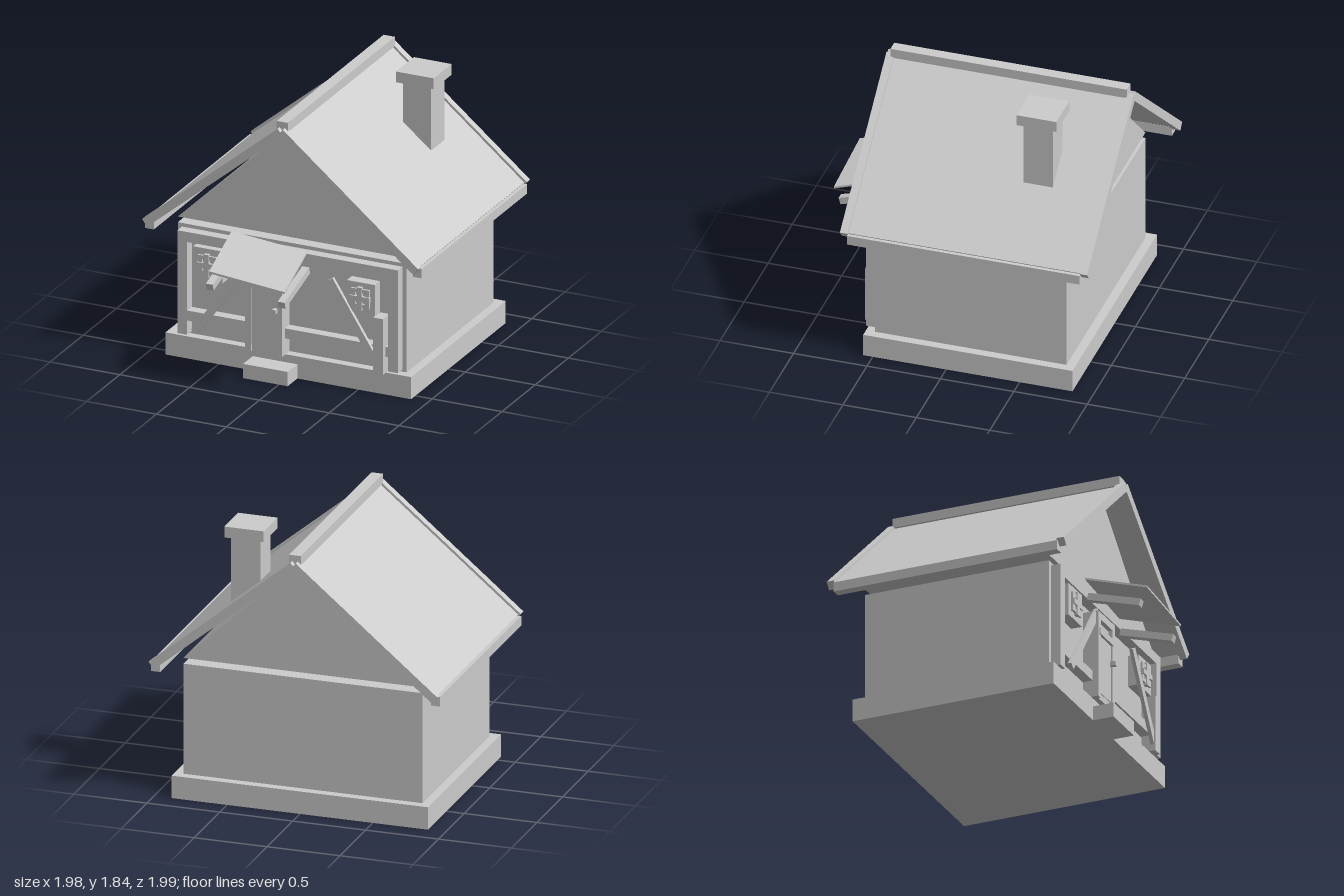
import * as THREE from 'three';

export function createModel() {
  const model = new THREE.Group();
  model.name = 'cottage';
  const plain = new THREE.MeshStandardMaterial({ color: 0xcccccc });
  plain.name = 'plain grey';

  const add = (name, geometry) => {
    const mesh = new THREE.Mesh(geometry, plain);
    mesh.name = name;
    model.add(mesh);
    return mesh;
  };
  // Box given by its limits on each axis
  const box = (name, x0, x1, y0, y1, z0, z1) => {
    const mesh = add(name, new THREE.BoxGeometry(x1 - x0, y1 - y0, z1 - z0));
    mesh.position.set((x0 + x1) / 2, (y0 + y1) / 2, (z0 + z1) / 2);
    return mesh;
  };
  // Polygon in x, y drawn out from z0 to z1
  const prism = (name, points, z0, z1) => {
    const shape = new THREE.Shape(points.map(p => new THREE.Vector2(p[0], p[1])));
    const geometry = new THREE.ExtrudeGeometry(shape, { depth: z1 - z0, bevelEnabled: false });
    return add(name, geometry.translate(0, 0, z0));
  };
  // Slanted box spanned by three edge vectors around a centre
  const skewBox = (name, centre, ex, ey, ez) => {
    const matrix = new THREE.Matrix4()
      .makeBasis(new THREE.Vector3(...ex), new THREE.Vector3(...ey), new THREE.Vector3(...ez))
      .setPosition(...centre);
    return add(name, new THREE.BoxGeometry(1, 1, 1).applyMatrix4(matrix));
  };
  // Flat board between two points on the front
  const plank = (name, x0, y0, x1, y1, width, z0, z1) => {
    const mesh = add(name, new THREE.BoxGeometry(Math.hypot(x1 - x0, y1 - y0), width, z1 - z0));
    mesh.position.set((x0 + x1) / 2, (y0 + y1) / 2, (z0 + z1) / 2);
    mesh.rotation.z = Math.atan2(y1 - y0, x1 - x0);
    return mesh;
  };

  // Body
  box('foundation', -0.88, 0.88, 0, 0.155, -0.86, 0.565);
  box('doorstep', -0.255, 0.065, 0, 0.1, 0.565, 0.71);
  box('walls', -0.82, 0.82, 0.155, 0.915, -0.8, 0.505);
  prism('gable', [[-0.82, 0.955], [0.82, 0.955], [0, 1.73]], -0.8, 0.505);

  // Timber frame on the front wall
  for (const s of [-1, 1]) box('framePost', s * 0.755 - 0.035, s * 0.755 + 0.035, 0.17, 0.89, 0.505, 0.575);
  box('frameTopBeam', -0.72, 0.72, 0.82, 0.89, 0.505, 0.575);
  box('frameMiddleBeam', -0.72, 0.72, 0.27, 0.34, 0.505, 0.575);
  plank('leftBrace', -0.66, 0.21, -0.245, 0.775, 0.05, 0.575, 0.6);
  plank('rightBrace', 0.312, 0.75, 0.658, 0.2, 0.05, 0.575, 0.6);
  box('shortPost', 0.628, 0.7, 0.155, 0.545, 0.51, 0.61);

  // Roof: both slopes share a cross-section measured along and below the top line
  const angle = 0.692;
  const section = (s, from, to, top, bottom) =>
    [[from, top], [to, top], [to, bottom], [from, bottom]].map(([along, below]) => [
      s * (0.99 - along * Math.cos(angle) - below * Math.sin(angle)),
      0.975 + along * Math.sin(angle) - below * Math.cos(angle),
    ]);
  for (const s of [-1, 1]) {
    prism('roofSlope', section(s, 0.01, 1.25, 0.016, 0.05), -0.945, 0.635);
    prism('rearBargeBoard', section(s, 0, 1.262, 0, 0.059), -0.995, -0.945);
    prism('frontBargeBoard', section(s, 0, 1.262, 0, 0.059), 0.635, 0.688);
    box('eavesBeam', s * 0.96 - 0.032, s * 0.96 + 0.032, 0.895, 0.96, -0.945, 0.64);
  }
  box('ridgeBeam', -0.04, 0.04, 1.755, 1.82, -0.955, 0.655);

  // Chimney
  box('chimney', 0.355, 0.555, 1.27, 1.77, -0.62, -0.42);
  box('chimneyCap', 0.32, 0.59, 1.765, 1.84, -0.655, -0.385);

  // Door with its surround
  box('doorPostLeft', -0.06, -0.02, 0.155, 0.765, 0.505, 0.615);
  box('doorPostRight', -0.285, -0.245, 0.155, 0.765, 0.505, 0.615);
  box('doorHead', -0.245, -0.06, 0.715, 0.765, 0.505, 0.615);
  box('doorSill', -0.245, -0.06, 0.155, 0.2, 0.505, 0.6);
  box('door', -0.245, -0.06, 0.2, 0.61, 0.505, 0.605);
  box('doorTransom', -0.265, -0.05, 0.605, 0.65, 0.505, 0.622);
  box('doorTopPanel', -0.245, -0.06, 0.645, 0.715, 0.505, 0.585);
  box('doorHandle', -0.08, -0.055, 0.455, 0.485, 0.605, 0.645);

  // Windows: block, small square frame and cross bars
  for (const [x, y, w, h] of [[-0.57, 0.688, 0.21, 0.225], [0.527, 0.653, 0.2, 0.215]]) {
    box('windowBlock', x - w / 2, x + w / 2, y - h / 2, y + h / 2, 0.505, 0.58);
    for (const s of [-1, 1]) {
      box('windowFrameSide', x + s * 0.05 - 0.016, x + s * 0.05 + 0.016, y - 0.066, y + 0.066, 0.58, 0.595);
      box('windowFrameRail', x - 0.034, x + 0.034, y + s * 0.053 - 0.013, y + s * 0.053 + 0.013, 0.58, 0.595);
    }
    box('windowUpright', x - 0.017, x + 0.017, y - 0.08, y + 0.08, 0.58, 0.605);
    box('windowCrossbar', x - 0.07, x + 0.07, y - 0.018, y + 0.018, 0.58, 0.605);
  }

  // Crooked awning and its two arms
  skewBox('awning', [-0.112, 0.863, 0.785], [0.54, -0.05, 0], [0, 0.014, 0], [0.04, -0.118, 0.42]);
  skewBox('awningArmRight', [-0.375, 0.765, 0.775], [0.05, 0, 0], [0, 0.046, 0.013], [0, -0.11, 0.37]);
  skewBox('awningArmLeft', [0.14, 0.73, 0.775], [0.05, 0, 0], [0, 0.046, 0.013], [0, -0.11, 0.37]);

  return model;
}
